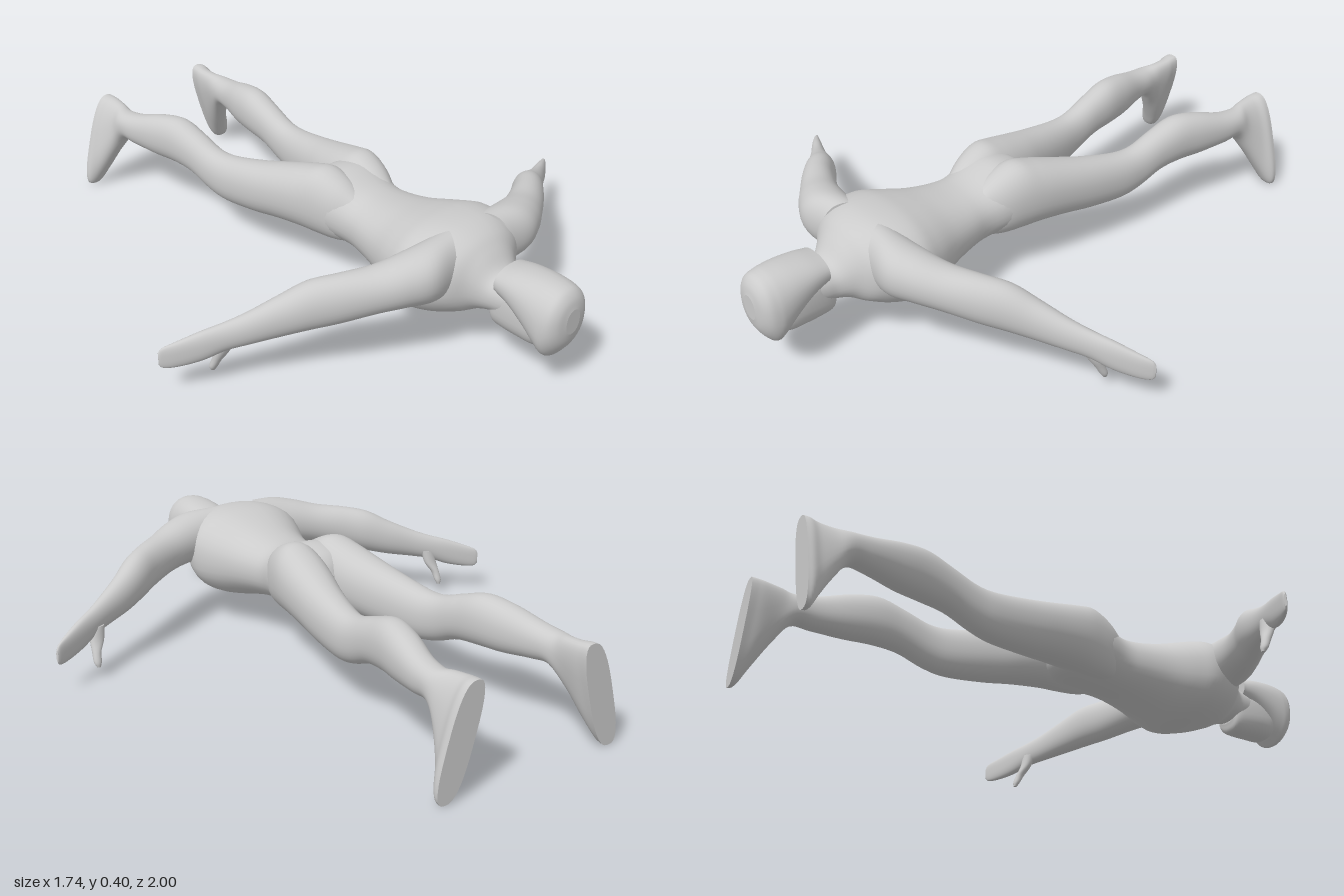
import * as THREE from 'three';

const material = new THREE.MeshStandardMaterial({ color: 0xcccccc, roughness: 0.8 });
const X = new THREE.Vector3(1, 0, 0);
const Y = new THREE.Vector3(0, 1, 0);
const Z = new THREE.Vector3(0, 0, 1);

// Smooth skin through rings [x, y, z, halfSide, halfUp, skew, squareness]
function loft(name, rings, { side = X, up = Y, mirror = 1, segments = 36, steps = 5 } = {}) {
  const spline = (pick) => new THREE.CatmullRomCurve3(
    rings.map((r) => new THREE.Vector3(...pick(r))), false, 'catmullrom', 0.5);
  const centre = spline((r) => [r[0], r[1], r[2]]);
  const size = spline((r) => [r[3], r[4], r[5] ?? 0]);
  const shape = spline((r) => [r[6] ?? 2.1, 0, 0]);
  const count = (rings.length - 1) * steps;
  const pos = [], index = [], p = new THREE.Vector3();
  const power = (v, n) => Math.sign(v) * Math.pow(Math.abs(v), 2 / n);
  const push = (v) => pos.push(v.x * mirror, v.y, v.z);

  for (let i = 0; i <= count; i++) {
    const c = centre.getPoint(i / count), s = size.getPoint(i / count);
    const n = shape.getPoint(i / count).x;
    for (let j = 0; j < segments; j++) {
      const a = (j / segments) * Math.PI * 2;
      const v = s.y * power(Math.sin(a), n);
      const u = s.x * power(Math.cos(a), n) + s.z * v;
      push(p.copy(c).addScaledVector(side, u).addScaledVector(up, v));
    }
  }
  const travel = centre.getPoint(1).sub(centre.getPoint(0));
  const flip = (new THREE.Vector3().crossVectors(side, up).dot(travel) < 0) !== (mirror < 0);
  const tri = (a, b, c) => (flip ? index.push(a, c, b) : index.push(a, b, c));
  for (let i = 0; i < count; i++) {
    for (let j = 0; j < segments; j++) {
      const k = (j + 1) % segments, a = i * segments, b = a + segments;
      tri(a + j, a + k, b + k);
      tri(a + j, b + k, b + j);
    }
  }
  // Flat end caps with their own vertices, so their rims stay sharp
  for (const end of [0, 1]) {
    const from = end * count * segments * 3;
    const base = pos.length / 3;
    pos.push(...pos.slice(from, from + segments * 3));
    push(centre.getPoint(end));
    for (let j = 0; j < segments; j++) {
      const k = (j + 1) % segments;
      if (end) tri(base + segments, base + j, base + k);
      else tri(base + segments, base + k, base + j);
    }
  }
  const geometry = new THREE.BufferGeometry();
  geometry.setAttribute('position', new THREE.Float32BufferAttribute(pos, 3));
  geometry.setIndex(index);
  geometry.computeVertexNormals();
  const mesh = new THREE.Mesh(geometry, material);
  mesh.name = name;
  return mesh;
}

// Ring across z from its bounds: z, x range, y range
const slice = (z, x0, x1, y0, y1, skew = 0, n = 2.2) =>
  [(x0 + x1) / 2, (y0 + y1) / 2, z, (x1 - x0) / 2, (y1 - y0) / 2, skew, n];
const middle = (z, half, y0, y1, n) => slice(z, -half, half, y0, y1, 0, n);

export function createModel() {
  const model = new THREE.Group();
  model.name = 'figure';

  // Torso from neck to crotch
  model.add(loft('torso', [
    middle(0.84, 0.06, 0.18, 0.29),
    middle(0.78, 0.068, 0.17, 0.29),
    middle(0.74, 0.078, 0.165, 0.3),
    middle(0.7, 0.11, 0.155, 0.345),
    middle(0.66, 0.165, 0.135, 0.38),
    middle(0.6, 0.2, 0.115, 0.4, 2.4),
    middle(0.52, 0.22, 0.098, 0.4, 2.4),
    middle(0.45, 0.2, 0.1, 0.385, 2.3),
    middle(0.36, 0.162, 0.122, 0.362),
    middle(0.27, 0.138, 0.143, 0.348),
    middle(0.2, 0.13, 0.152, 0.352),
    middle(0.1, 0.15, 0.16, 0.383),
    middle(0.02, 0.13, 0.168, 0.37),
    middle(-0.02, 0.07, 0.19, 0.34),
    middle(-0.04, 0.02, 0.23, 0.3),
  ]));

  // Head: face block below, hair cap over the skull
  const head = new THREE.Group();
  head.name = 'head';
  head.add(loft('face', [
    middle(0.738, 0.04, 0.16, 0.23, 2.6),
    middle(0.748, 0.055, 0.132, 0.26, 2.6),
    middle(0.78, 0.064, 0.125, 0.29, 2.6),
    middle(0.85, 0.07, 0.125, 0.3, 2.6),
    middle(0.905, 0.068, 0.127, 0.3, 2.5),
    middle(0.94, 0.055, 0.16, 0.29),
  ]));
  head.add(loft('hair', [
    middle(0.768, 0.074, 0.245, 0.332),
    middle(0.82, 0.082, 0.222, 0.343),
    middle(0.88, 0.09, 0.175, 0.349),
    middle(0.925, 0.094, 0.13, 0.349),
    middle(0.95, 0.093, 0.113, 0.346),
    middle(0.975, 0.084, 0.138, 0.337),
    middle(0.992, 0.062, 0.17, 0.315),
    middle(1.0, 0.03, 0.205, 0.285),
  ]));
  model.add(head);

  const armSide = new THREE.Vector3(0.51, 0, 0.86);
  for (const [label, mirror] of [['left', 1], ['right', -1]]) {
    // Leg running back to a foot with a flat, splayed sole
    model.add(loft(label + 'Leg', [
      slice(0.2, 0.02, 0.11, 0.18, 0.335),
      slice(0.14, 0.0, 0.142, 0.165, 0.375),
      slice(0.07, -0.008, 0.164, 0.163, 0.4),
      slice(0, -0.004, 0.178, 0.165, 0.387),
      slice(-0.1, 0.022, 0.19, 0.16, 0.36),
      slice(-0.2, 0.055, 0.2, 0.15, 0.335),
      slice(-0.33, 0.09, 0.21, 0.145, 0.311),
      slice(-0.41, 0.107, 0.213, 0.16, 0.313),
      slice(-0.5, 0.112, 0.221, 0.194, 0.343),
      slice(-0.59, 0.115, 0.235, 0.205, 0.369),
      slice(-0.68, 0.133, 0.251, 0.208, 0.36),
      slice(-0.78, 0.165, 0.264, 0.218, 0.334),
      slice(-0.85, 0.177, 0.268, 0.22, 0.325),
      slice(-0.9, 0.187, 0.27, 0.155, 0.33, -0.2, 2.3),
      slice(-0.95, 0.196, 0.286, 0.068, 0.335, -0.26, 2.5),
      slice(-0.98, 0.208, 0.304, 0.012, 0.339, -0.28, 2.8),
      slice(-1, 0.211, 0.305, 0.002, 0.34, -0.28, 2.8),
    ], { mirror }));

    // Arm sweeping out, back and down to an upright palm
    const arm = new THREE.Group();
    arm.name = label + 'Arm';
    arm.add(loft('armAndHand', [
      [0.08, 0.3, 0.6, 0.08, 0.095],
      [0.17, 0.3, 0.603, 0.088, 0.09],
      [0.25, 0.294, 0.58, 0.078, 0.08],
      [0.33, 0.28, 0.543, 0.065, 0.073],
      [0.42, 0.264, 0.49, 0.057, 0.077],
      [0.49, 0.248, 0.44, 0.053, 0.077],
      [0.56, 0.221, 0.395, 0.044, 0.065],
      [0.64, 0.195, 0.352, 0.033, 0.052],
      [0.7, 0.177, 0.318, 0.026, 0.046],
      [0.76, 0.156, 0.285, 0.021, 0.048, 0, 2.3],
      [0.82, 0.138, 0.25, 0.014, 0.042, 0, 2.5],
      [0.855, 0.13, 0.228, 0.008, 0.034, 0, 2.5],
      [0.866, 0.128, 0.221, 0.004, 0.02],
    ], { side: armSide, mirror }));
    arm.add(loft('thumb', [
      [0.69, 0.165, 0.315, 0.026, 0.022],
      [0.697, 0.12, 0.302, 0.024, 0.018],
      [0.708, 0.085, 0.285, 0.015, 0.015],
      [0.712, 0.055, 0.272, 0.013, 0.012],
      [0.712, 0.038, 0.266, 0.006, 0.006],
    ], { up: Z, mirror, segments: 16 }));
    model.add(arm);
  }
  return model;
}
